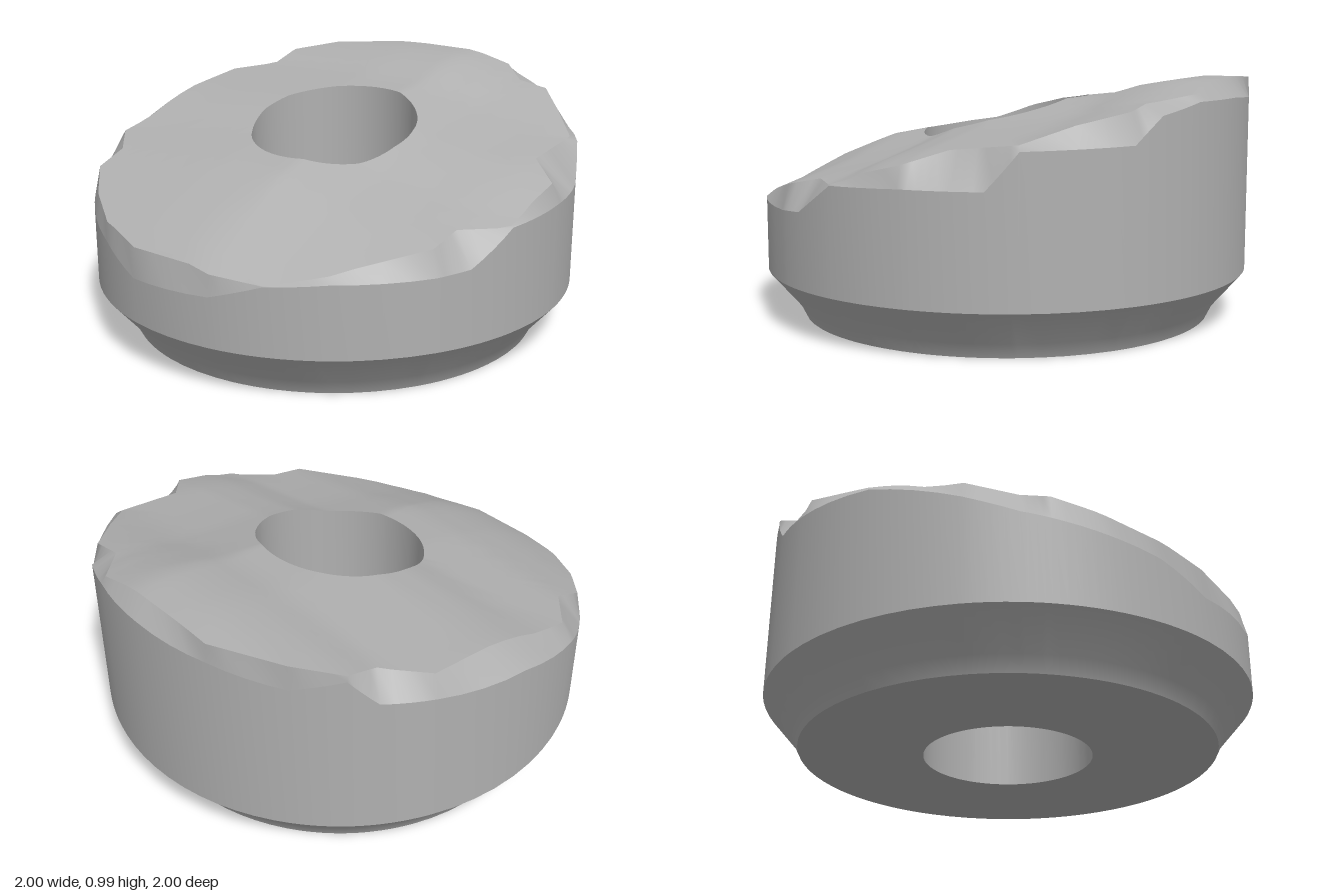
import * as THREE from 'three';

// Piecewise-linear lookup through [position, value] pairs
function lookup(table, t) {
  if (t <= table[0][0]) return table[0][1];
  for (let i = 1; i < table.length; i++) {
    const [t0, v0] = table[i - 1], [t1, v1] = table[i];
    if (t <= t1) return v0 + (v1 - v0) * (t - t0) / (t1 - t0);
  }
  return table[table.length - 1][1];
}

// Worn, sloping top: rises along x, falls away towards the front
const slope = [[-1, 0.48], [-0.92, 0.54], [-0.74, 0.63], [-0.5, 0.72], [-0.2, 0.78], [-0.05, 0.84],
  [0.1, 0.875], [0.5, 0.92], [0.65, 0.965], [0.8, 0.99], [1, 0.99]];
const fall = [[-1, 0.04], [-0.75, 0.03], [-0.2, 0], [0.1, 0], [0.4, 0.07], [0.6, 0.1], [0.83, 0.13], [1, 0.17]];
const topHeight = (x, z) => lookup(slope, x) - lookup(fall, z);

// Chipped rim: x, z of the top edge and height of the wall below it
const rim = [
  [0.94, 0, 0.92], [0.94, 0.28, 0.92], [0.8, 0.42, 0.88], [0.8, 0.55, 0.78], [0.5, 0.83, 0.77],
  [0.37, 0.83, 0.63], [0.22, 0.83, 0.63], [0.1, 0.97, 0.63], [-0.2, 0.97, 0.62], [-0.35, 0.83, 0.5],
  [-0.5, 0.83, 0.49], [-0.78, 0.58, 0.49], [-0.92, 0.39, 0.47], [-0.97, 0.18, 0.4], [-0.97, -0.2, 0.38],
  [-0.9, -0.42, 0.46], [-0.78, -0.6, 0.5], [-0.63, -0.75, 0.54], [-0.5, -0.75, 0.56], [-0.35, -0.89, 0.63],
  [0, -0.89, 0.74], [0.37, -0.89, 0.78], [0.52, -0.75, 0.8], [0.66, -0.75, 0.91], [0.8, -0.6, 0.86],
  [0.94, -0.33, 0.9],
];
const HOLE = 0.345;
const STEPS = 4;

// Skin a loop of cross-section rings, smooth inside each band
function band(name, rings, material) {
  const n = rings[0].length, positions = [], index = [];
  for (const ring of rings) for (const p of ring) positions.push(...p);
  for (let j = 0; j < rings.length - 1; j++) {
    for (let i = 0; i < n; i++) {
      const k = (i + 1) % n;
      const a = j * n + i, b = j * n + k, c = a + n, d = b + n;
      index.push(a, b, c, b, d, c);
    }
  }
  const geometry = new THREE.BufferGeometry();
  geometry.setAttribute('position', new THREE.Float32BufferAttribute(positions, 3));
  geometry.setIndex(index);
  geometry.computeVertexNormals();
  const mesh = new THREE.Mesh(geometry, material);
  mesh.name = name;
  return mesh;
}

export function createModel() {
  const group = new THREE.Group();
  group.name = 'brokenRing';
  const stone = new THREE.MeshStandardMaterial({ color: 0xb0b0b0 });
  stone.name = 'stone grey';

  // Subdivide the rim and find the direction of every spoke
  const spokes = [];
  rim.forEach((p, i) => {
    const q = rim[(i + 1) % rim.length];
    for (let s = 0; s < STEPS; s++) {
      const [x, z, wall] = p.map((v, k) => v + (q[k] - v) * s / STEPS);
      const r = Math.hypot(x, z);
      spokes.push({ x: x / r, z: z / r, r: Math.min(r, 1), wall });
    }
  });
  const circle = (r, y) => spokes.map((s) => [s.x * r, y, s.z * r]);
  const topRing = (t) => spokes.map((s) => {
    const r = HOLE + (s.r - HOLE) * t;
    const h = topHeight(s.x * r, s.z * r);
    return [s.x * r, t === 1 ? Math.max(h, s.wall + 0.005) : h, s.z * r];
  });
  const wallTop = spokes.map((s) => [s.x, s.wall, s.z]);

  // Sloping top face
  const topRings = [];
  for (let j = 0; j <= 8; j++) topRings.push(topRing(j / 8));
  group.add(band('topFace', topRings, stone));

  // Chipped edge, outer wall and lower bevel
  group.add(band('chippedEdge', [topRing(1), wallTop], stone));
  group.add(band('outerWall', [wallTop, circle(1, 0.2)], stone));
  group.add(band('lowerBevel', [circle(1, 0.2), circle(0.88, 0.06), circle(0.85, 0)], stone));

  // Flat underside and the bore through the middle
  group.add(band('underside', [circle(0.85, 0), circle(HOLE, 0)], stone));
  group.add(band('bore', [circle(HOLE, 0), topRing(0)], stone));
  return group;
}
